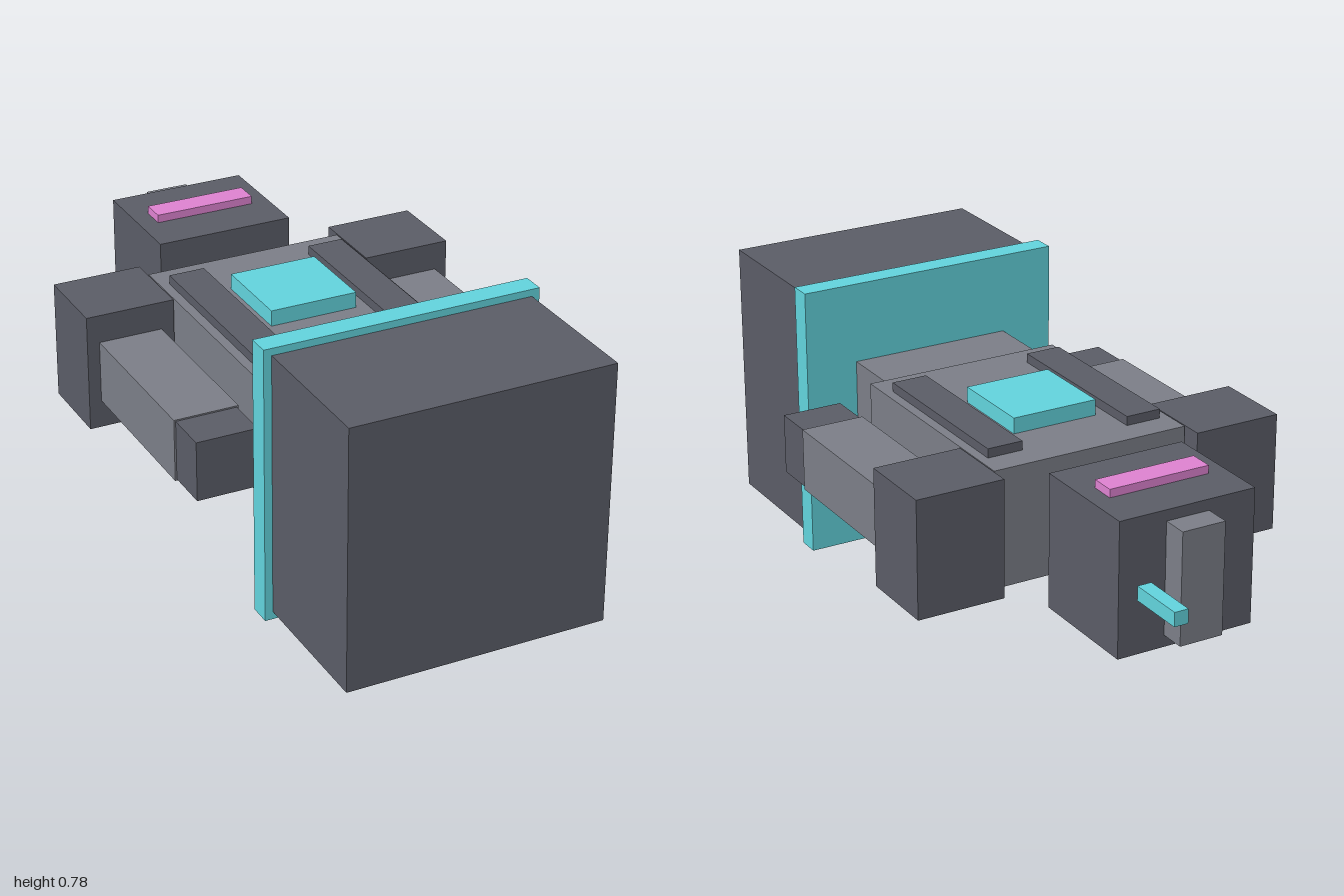
import * as THREE from 'three';

const material = (color) => new THREE.MeshStandardMaterial({ color });

export function createModel() {
  const model = new THREE.Group();
  model.name = 'robotBust';

  const dark = material(0x5a5c66);
  const light = material(0x7b7e87);
  const cyan = material(0x62d3dc);
  const pink = material(0xdd82d0);

  // Box given by its extents along each axis
  function block(name, mat, [x0, x1], [y0, y1], [z0, z1], parent = model) {
    const mesh = new THREE.Mesh(new THREE.BoxGeometry(x1 - x0, y1 - y0, z1 - z0), mat);
    mesh.position.set((x0 + x1) / 2, (y0 + y1) / 2, (z0 + z1) / 2);
    mesh.name = name;
    parent.add(mesh);
  }

  // Pedestal with its glowing rim
  block('pedestal', dark, [-0.368, 0.368], [0.022, 0.76], [0.59, 1]);
  block('pedestalRim', cyan, [-0.39, 0.39], [0, 0.78], [0.527, 0.59]);

  // Body
  block('waist', light, [-0.237, 0.237], [0.235, 0.55], [0.34, 0.527]);
  block('torso', light, [-0.29, 0.29], [0.225, 0.56], [-0.343, 0.34]);
  block('chestCore', cyan, [-0.126, 0.126], [0.55, 0.605], [-0.16, 0.09]);

  // Head
  block('neck', dark, [-0.105, 0.105], [0.288, 0.495], [-0.465, -0.36]);
  block('head', dark, [-0.2, 0.2], [0.202, 0.581], [-0.8, -0.465]);
  block('visor', pink, [-0.147, 0.147], [0.575, 0.604], [-0.67, -0.6]);
  block('headCrest', light, [-0.063, 0.063], [0.235, 0.55], [-0.873, -0.8]);
  block('antenna', cyan, [0.126, 0.166], [0.372, 0.412], [-1, -0.833]);

  // Chest strips and arms, mirrored
  for (const side of [1, -1]) {
    const span = (a, b) => (side > 0 ? [a, b] : [-b, -a]);
    const prefix = side > 0 ? 'left' : 'right';
    block(prefix + 'ChestStrip', dark, span(0.16, 0.263), [0.55, 0.586], [-0.263, 0.26]);

    const arm = new THREE.Group();
    arm.name = prefix + 'Arm';
    model.add(arm);
    block(prefix + 'Shoulder', dark, span(0.293, 0.547), [0.224, 0.56], [-0.4, -0.17], arm);
    block(prefix + 'Forearm', light, span(0.33, 0.512), [0.303, 0.48], [-0.17, 0.315], arm);
    block(prefix + 'Hand', dark, span(0.335, 0.507), [0.307, 0.476], [0.315, 0.44], arm);
  }

  return model;
}
